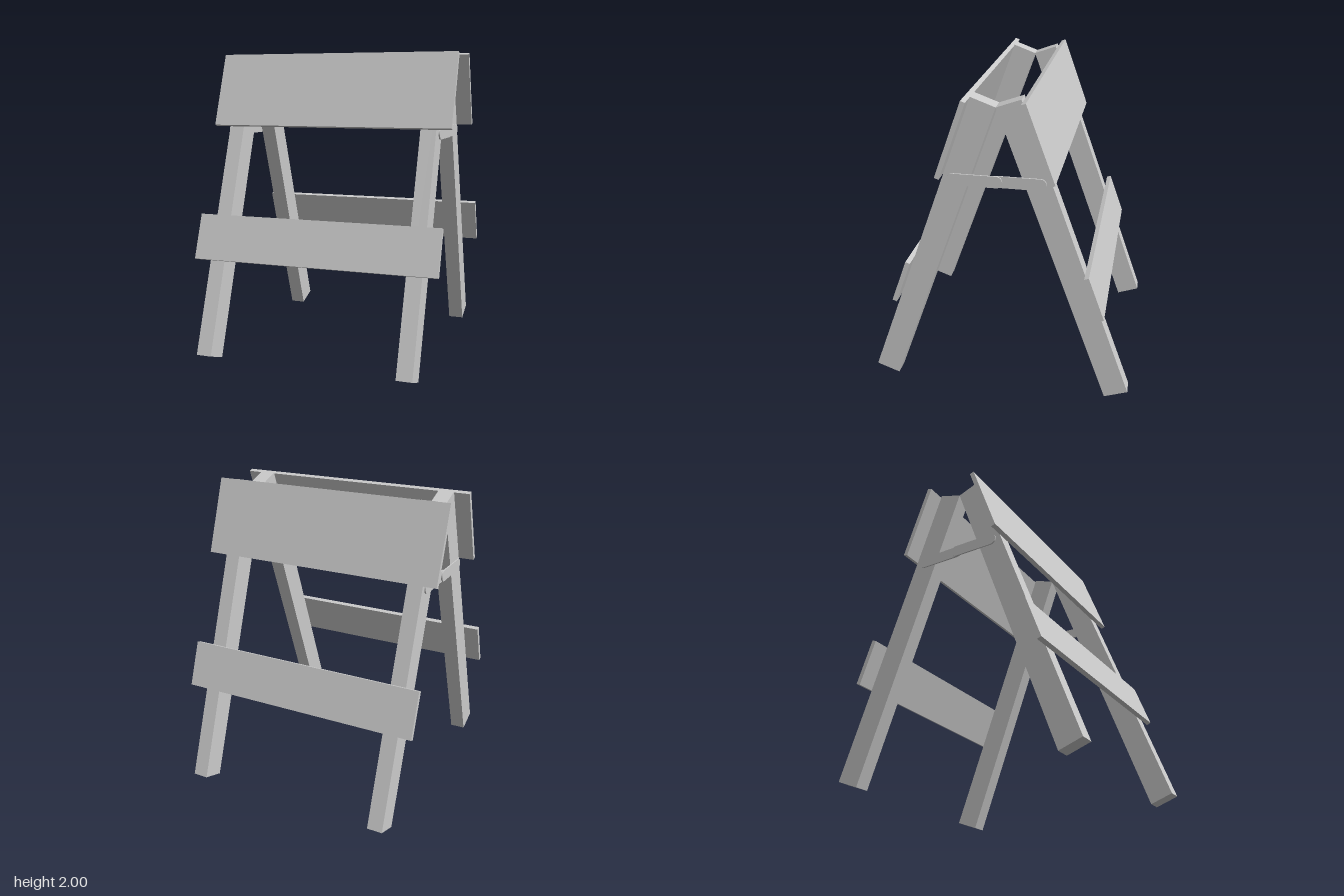
import * as THREE from 'three';

const material = new THREE.MeshStandardMaterial({ color: 0xcccccc, flatShading: true });
const RIDGE = 1.94;                         // height where the two frames meet
const TILT = THREE.MathUtils.degToRad(20);  // lean of each frame
const LEG = { length: 2.064, width: 0.102, depth: 0.16, x: 0.668 };

function box(name, w, h, d, x, y, z) {
  const mesh = new THREE.Mesh(new THREE.BoxGeometry(w, h, d), material);
  mesh.name = name;
  mesh.position.set(x, y, z);
  return mesh;
}

// Board across the legs; top and bottom are measured along the leg from the ridge
function board(name, top, bottom, gap) {
  const thickness = 0.03;
  return box(name, 1.644, bottom - top, thickness,
    0, -(top + bottom) / 2, LEG.depth + gap + thickness / 2);
}

// One leaning frame: two legs and two boards, local +z facing outward
function frame(name, gap) {
  const group = new THREE.Group();
  group.name = name;
  group.position.y = RIDGE;
  group.rotation.x = -TILT;
  for (const side of [1, -1]) {
    group.add(box(side > 0 ? 'leftLeg' : 'rightLeg', LEG.width, LEG.length, LEG.depth,
      side * LEG.x, -LEG.length / 2, LEG.depth / 2));
  }
  group.add(board('upperBoard', 0.006, 0.516, gap));
  group.add(board('lowerBoard', 1.14, 1.444, gap));
  return group;
}

// Flat folding bar with rounded ends, running along z from z0 to z1
function braceArm(name, z0, z1, xMin) {
  const r = 0.037, thickness = 0.009;
  const shape = new THREE.Shape();
  shape.absarc(z1 - r, 0, r, -Math.PI / 2, Math.PI / 2);
  shape.absarc(z0 + r, 0, r, Math.PI / 2, Math.PI * 1.5);
  shape.closePath();
  const geometry = new THREE.ExtrudeGeometry(shape, { depth: thickness, bevelEnabled: false, curveSegments: 12 });
  geometry.rotateY(-Math.PI / 2);           // shape x -> z, extrusion -> -x
  const mesh = new THREE.Mesh(geometry, material);
  mesh.name = name;
  mesh.position.set(xMin + thickness, 1.483, 0);
  return mesh;
}

export function createModel() {
  const model = new THREE.Group();
  model.name = 'foldingBarricade';

  // Front and back frames; the back boards stand slightly off the legs
  model.add(frame('frontFrame', 0));
  const back = new THREE.Group();
  back.name = 'backHalf';
  back.rotation.y = Math.PI;
  back.add(frame('backFrame', 0.014));
  model.add(back);

  // Overlapping pair of brace arms on the outside of each leg pair
  for (const side of [1, -1]) {
    const brace = new THREE.Group();
    brace.name = side > 0 ? 'leftBrace' : 'rightBrace';
    const inner = 0.72, outer = 0.729, t = 0.009;
    brace.add(braceArm('backArm', -0.303, 0.037, side > 0 ? inner : -inner - t));
    brace.add(braceArm('frontArm', -0.037, 0.303, side > 0 ? outer : -outer - t));
    model.add(brace);
  }
  return model;
}
